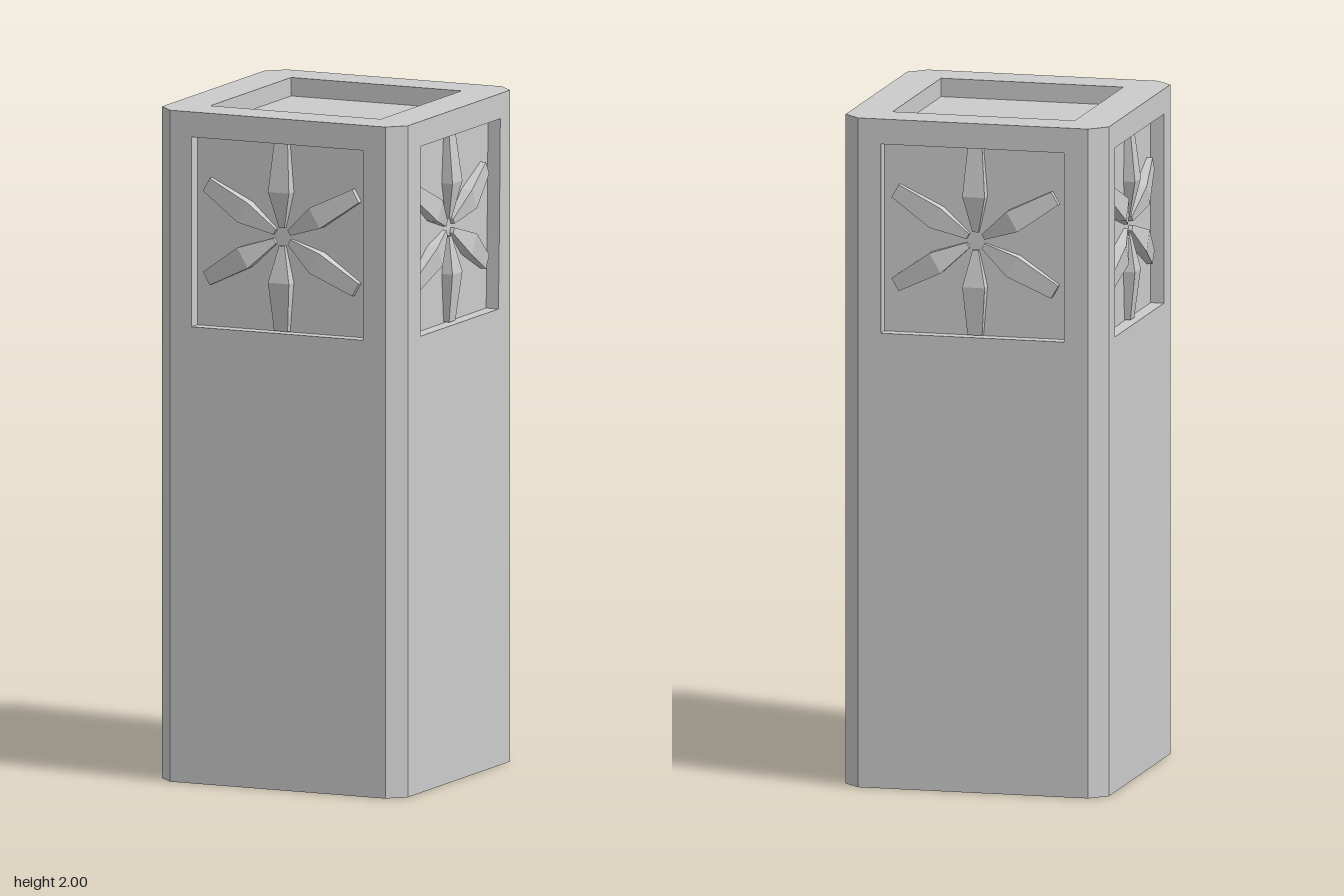
import * as THREE from 'three';

const H = 2, HALF = 0.4, FLAT = 0.35; // height, half width, half width between chamfers
const PANEL_DEPTH = 0.04, TOP_DEPTH = 0.055, MOTIF_Y = 1.643;

const material = new THREE.MeshStandardMaterial({
  color: 0xcccccc, flatShading: true, side: THREE.DoubleSide,
});

function mesh(name, geometry) {
  const m = new THREE.Mesh(geometry, material);
  m.name = name;
  return m;
}

// Joins equal-length rings of [x, y, z] with flat quads; caps are convex fans
function loft(rings, capStart, capEnd) {
  const pos = [];
  const tri = (a, b, c) => pos.push(...a, ...b, ...c);
  for (let i = 0; i < rings.length - 1; i++) {
    const a = rings[i], b = rings[i + 1], n = a.length;
    for (let j = 0; j < n; j++) {
      const k = (j + 1) % n;
      tri(a[j], a[k], b[k]);
      tri(a[j], b[k], b[j]);
    }
  }
  const fan = (r) => { for (let j = 1; j < r.length - 1; j++) tri(r[0], r[j], r[j + 1]); };
  if (capStart) fan([...rings[0]].reverse());
  if (capEnd) fan(rings[rings.length - 1]);
  const g = new THREE.BufferGeometry();
  g.setAttribute('position', new THREE.Float32BufferAttribute(pos, 3));
  g.computeVertexNormals();
  return g;
}

// Flat plate in the xy plane with one opening
function plate(outline, opening) {
  const toV = (pts) => pts.map(([x, y]) => new THREE.Vector2(x, y));
  const shape = new THREE.Shape(toV(outline));
  shape.holes.push(new THREE.Path(toV(opening)));
  return new THREE.ShapeGeometry(shape);
}

// Walls and floor sunk behind an opening
function recess(opening, depth) {
  return loft([0, -depth].map((z) => opening.map(([x, y]) => [x, y, z])), false, true);
}

// Faceted petal: narrow at the hub, widest and highest at the shoulder
function petalGeometry() {
  const sections = [[0.027, 0.009, 0.012], [0.135, 0.034, 0.035], [0.28, 0.022, 0.018]];
  return loft(sections.map(([r, w, h]) =>
    [[-w, r, 0], [-w, r, h], [w, r, h], [w, r, 0]]), true, true);
}

export function createModel() {
  const model = new THREE.Group();
  model.name = 'pillar';

  const regular = [[-0.28, 1.36], [0.277, 1.36], [0.277, 1.925], [-0.28, 1.925]];
  // One side has a slightly uneven panel edge
  const uneven = [[-0.265, 1.36], [0.27, 1.36], [0.277, 1.6], [0.283, 1.925], [-0.265, 1.925]];
  const wallOutline = [[-FLAT, 0], [FLAT, 0], [FLAT, H], [-FLAT, H]];
  const petal = petalGeometry();

  // Four walls with sunken flower panels, and the chamfer beside each
  ['front', 'left', 'back', 'right'].forEach((label, i) => {
    const opening = i === 1 ? uneven : regular;
    const side = new THREE.Group();
    side.name = label + 'Side';
    side.rotation.y = i * Math.PI / 2;

    const wall = mesh('wall', plate(wallOutline, opening));
    const panel = mesh('panelRecess', recess(opening, PANEL_DEPTH));
    wall.position.z = panel.position.z = HALF;
    side.add(wall, panel);

    const flower = new THREE.Group();
    flower.name = 'flower';
    flower.position.set(0, MOTIF_Y, HALF - PANEL_DEPTH);
    for (let k = 0; k < 6; k++) {
      const p = mesh('petal', petal);
      p.rotation.z = k * Math.PI / 3;
      flower.add(p);
    }
    side.add(flower);

    const chamfer = mesh('cornerChamfer', new THREE.PlaneGeometry((HALF - FLAT) * Math.SQRT2, H));
    const c = (HALF + FLAT) / 2;
    chamfer.position.set(c, H / 2, c);
    chamfer.rotation.y = Math.PI / 4;
    side.add(chamfer);
    model.add(side);
  });

  // Top rim and its shallow square tray; the bottom stays open
  const t = 0.277;
  const square = [[-t, -t], [t, -t], [t, t], [-t, t]];
  const octagon = [
    [-FLAT, -HALF], [FLAT, -HALF], [HALF, -FLAT], [HALF, FLAT],
    [FLAT, HALF], [-FLAT, HALF], [-HALF, FLAT], [-HALF, -FLAT],
  ];
  const top = new THREE.Group();
  top.name = 'top';
  top.rotation.x = -Math.PI / 2;
  top.position.y = H;
  top.add(mesh('rim', plate(octagon, square)), mesh('tray', recess(square, TOP_DEPTH)));
  model.add(top);

  return model;
}
